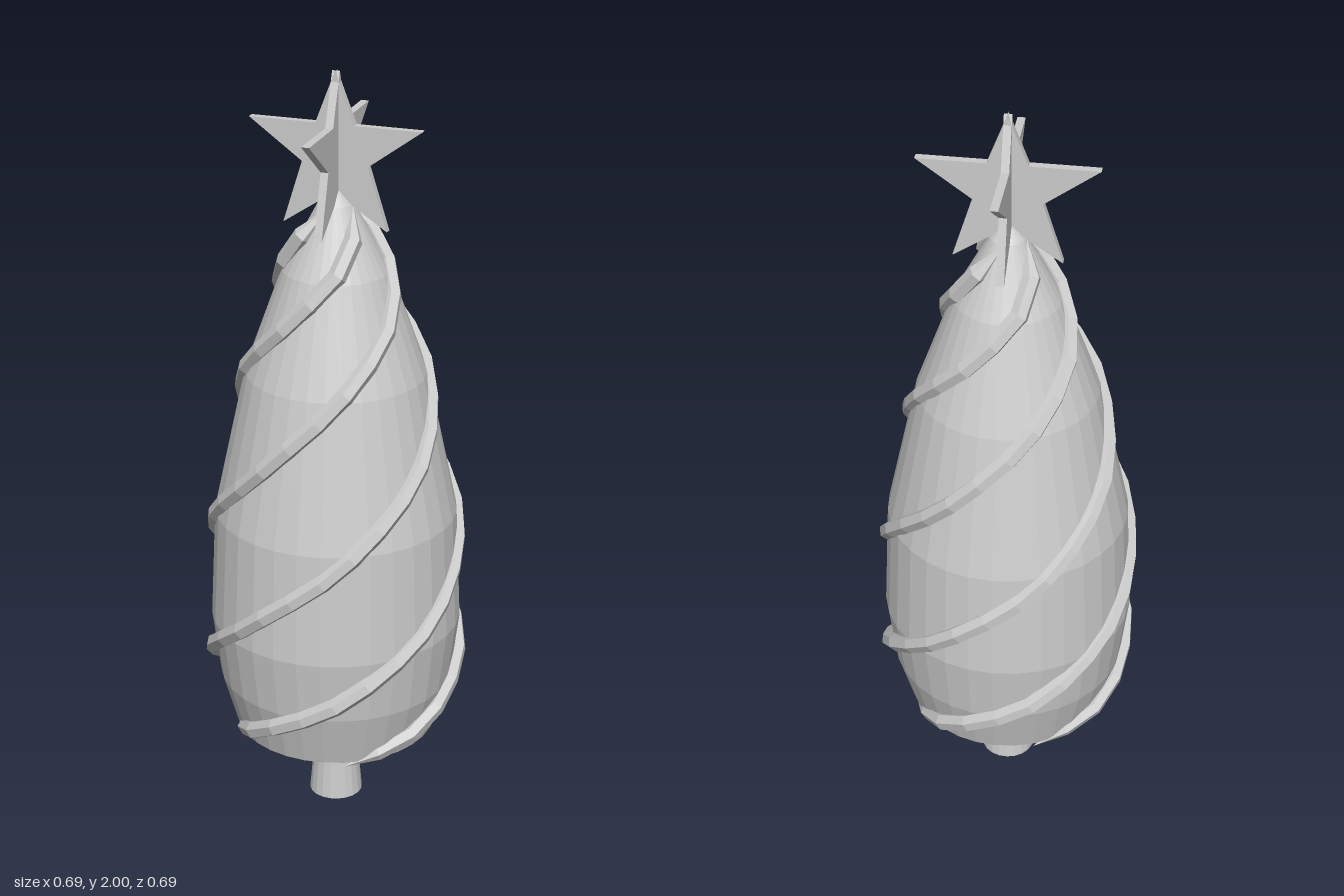
import * as THREE from 'three';

const material = new THREE.MeshStandardMaterial({ color: 0xcccccc, flatShading: true });

function addMesh(parent, name, geometry) {
  const mesh = new THREE.Mesh(geometry, material);
  mesh.name = name;
  parent.add(mesh);
  return mesh;
}

// Spiral strand: [quarter turns, radius, height], tapered to a closed point at both ends
function strandGeometry() {
  const stations = [
    [0, 0.258, 0.215], [0.5, 0.298, 0.31], [1, 0.326, 0.45], [1.5, 0.326, 0.63],
    [2, 0.313, 0.83], [2.5, 0.277, 1.04], [3, 0.226, 1.24], [3.5, 0.174, 1.40],
    [4, 0.123, 1.53], [4.4, 0.075, 1.63], [4.7, 0.045, 1.67],
  ];
  const curve = new THREE.CatmullRomCurve3(stations.map(([q, r, y]) => {
    const a = q * Math.PI / 2;
    return new THREE.Vector3(r * Math.sin(a), y, r * Math.cos(a));
  }));
  const segments = 24, sides = 6;
  const geometry = new THREE.TubeGeometry(curve, segments, 0.024, sides);
  const pos = geometry.attributes.position;
  const v = new THREE.Vector3();
  for (const ring of [0, segments]) {
    const center = curve.getPointAt(ring / segments);
    for (let j = 0; j <= sides; j++) {
      const i = ring * (sides + 1) + j;
      v.fromBufferAttribute(pos, i).lerp(center, 1);
      pos.setXYZ(i, v.x, v.y, v.z);
    }
  }
  geometry.computeVertexNormals();
  return geometry;
}

// Upright five-pointed star plate
function starGeometry() {
  const half = [[0, 2], [0.05, 1.87], [0.222, 1.87], [0.085, 1.77], [0.135, 1.61], [0, 1.70]];
  const mirrored = half.slice(1, -1).reverse().map(([x, y]) => [-x, y]);
  const shape = new THREE.Shape([...half, ...mirrored].map(([x, y]) => new THREE.Vector2(x, y)));
  const depth = 0.02;
  return new THREE.ExtrudeGeometry(shape, { depth, bevelEnabled: false }).translate(0, 0, -depth / 2);
}

export function createModel() {
  const model = new THREE.Group();
  model.name = 'decoratedTree';

  // Trunk
  addMesh(model, 'trunk', new THREE.CylinderGeometry(0.054, 0.071, 0.19, 20).translate(0, 0.095, 0));

  // Foliage body
  const profile = [
    [0, 0.155], [0.07, 0.157], [0.16, 0.185], [0.265, 0.232], [0.307, 0.38], [0.328, 0.55],
    [0.314, 0.85], [0.232, 1.23], [0.135, 1.5], [0.045, 1.67], [0, 1.72],
  ].map(([r, y]) => new THREE.Vector2(r, y));
  addMesh(model, 'foliage', new THREE.LatheGeometry(profile, 32));

  // Four spiral garlands
  const garland = strandGeometry();
  for (let i = 0; i < 4; i++) {
    addMesh(model, 'garland' + (i + 1), garland).rotation.y = i * Math.PI / 2;
  }

  // Two crossed star plates
  const star = starGeometry();
  for (let i = 0; i < 2; i++) {
    addMesh(model, 'starPlate' + (i + 1), star).rotation.y = -0.41 + i * Math.PI / 2;
  }

  return model;
}
